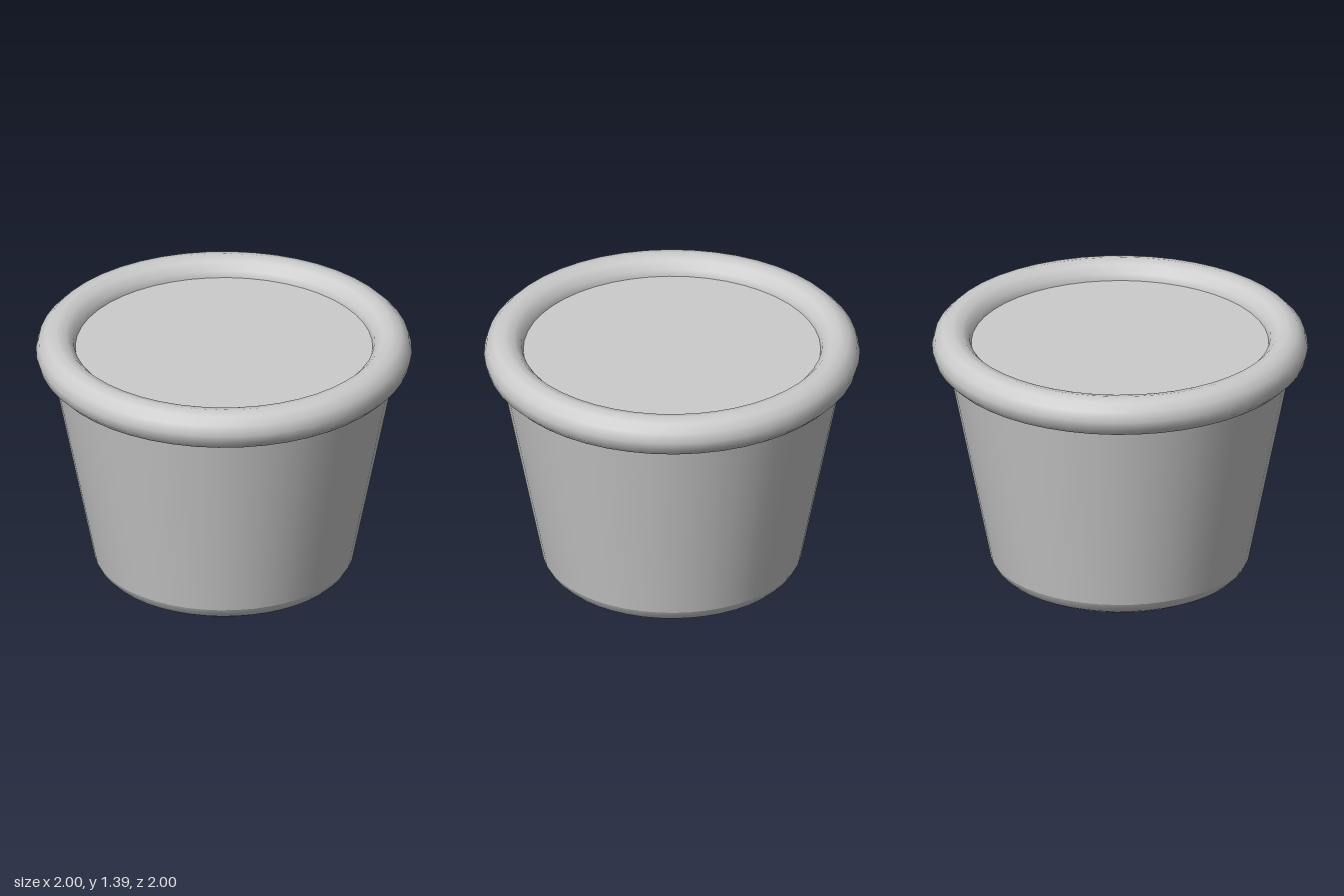
import * as THREE from 'three';

const SEGMENTS = 48;

export function createModel() {
  const group = new THREE.Group();
  const clay = new THREE.MeshStandardMaterial({ color: 0xcccccc });
  clay.name = 'light grey';

  const add = (name, geometry) => {
    const mesh = new THREE.Mesh(geometry, clay);
    mesh.name = name;
    group.add(mesh);
    return mesh;
  };
  const lathe = (points) =>
    new THREE.LatheGeometry(points.map(([r, y]) => new THREE.Vector2(r, y)), SEGMENTS);
  const disc = (radius, y, up) =>
    new THREE.CircleGeometry(radius, SEGMENTS).rotateX(up ? -Math.PI / 2 : Math.PI / 2).translate(0, y, 0);

  // Tapered wall, reaching up inside the rim
  add('wall', lathe([[0.69, 0.09], [0.91, 1.19], [0.932, 1.31]]));

  // Rounded foot and flat underside
  add('foot', lathe([[0.6, 0.005], [0.65, 0.033], [0.675, 0.06], [0.69, 0.09]]));
  add('base', disc(0.6, 0.005, false));

  // Flat fill closing the top, just below the rim
  add('fill', disc(0.92, 1.31, true));

  // Thick rolled rim
  const rim = new THREE.TorusGeometry(0.893, 0.107, 12, SEGMENTS);
  add('rim', rim.rotateX(-Math.PI / 2).translate(0, 1.293, 0));

  return group;
}
